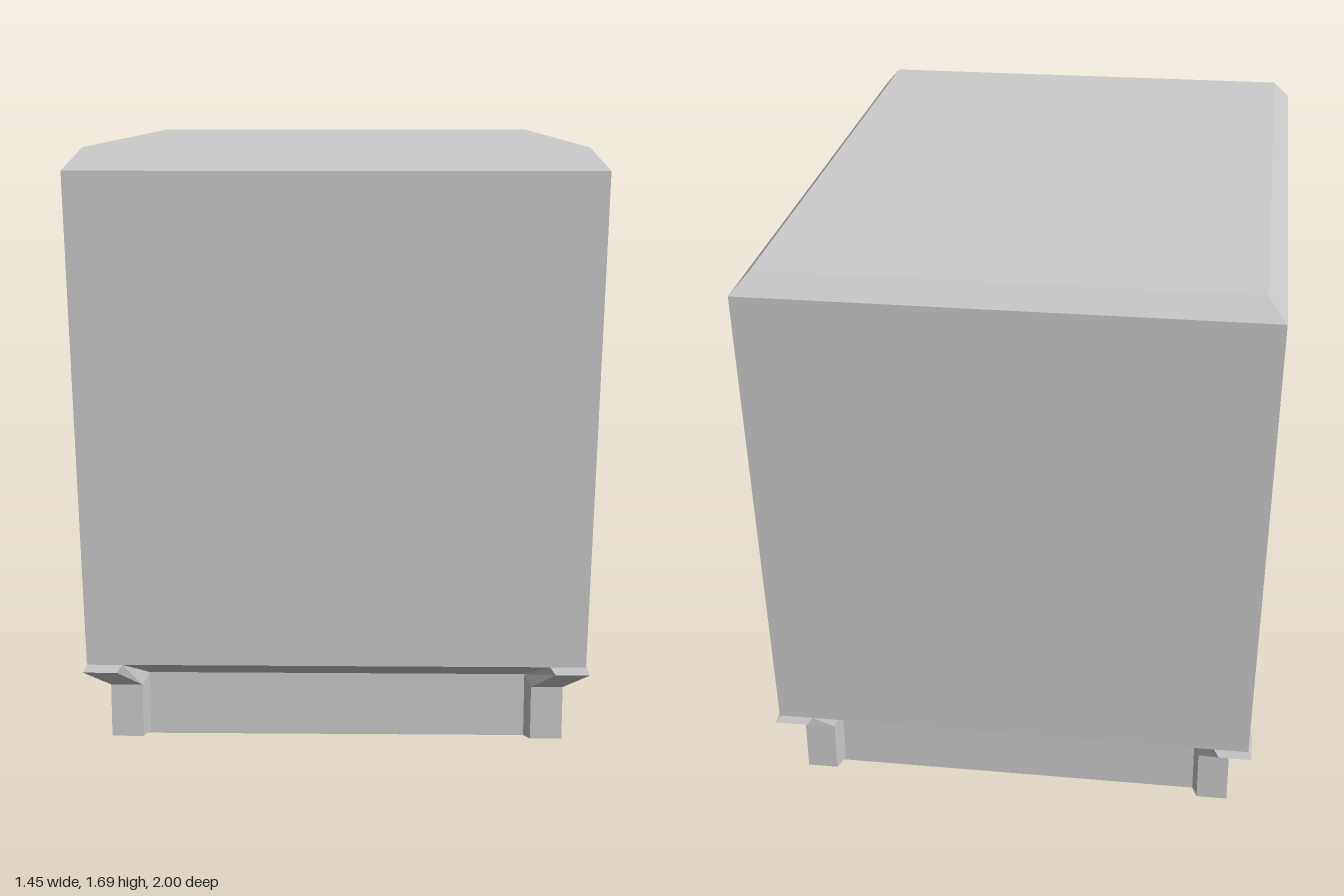
import * as THREE from 'three';

const grey = new THREE.MeshStandardMaterial({ color: 0xcccccc, flatShading: true });

// Faceted mesh from quads, corners anticlockwise seen from outside
function quadMesh(name, quads) {
  const points = quads.flatMap(([a, b, c, d]) => [a, b, c, a, c, d]).flat();
  const geometry = new THREE.BufferGeometry();
  geometry.setAttribute('position', new THREE.Float32BufferAttribute(points, 3));
  geometry.computeVertexNormals();
  const mesh = new THREE.Mesh(geometry, grey);
  mesh.name = name;
  return mesh;
}

// Horizontal rectangle, anticlockwise seen from below
const ring = (y, x, z) => [[-x, y, z], [x, y, z], [x, y, -z], [-x, y, -z]];

// Four quads joining two rectangles
const band = (a, b) => a.map((p, i) => [p, a[(i + 1) % 4], b[(i + 1) % 4], b[i]]);

const foot = ring(0, 0.6, 0.84);
const plinthTop = ring(0.185, 0.6, 0.84);
const wallBottom = ring(0.25, 0.7, 0.965);
const wallTop = ring(1.63, 0.727, 1);
const roof = ring(1.69, 0.675, 0.96);

// Tapered walls; the +x wall is left out and framed around the window
function makeBody() {
  const walls = band(wallBottom, wallTop);
  const sideWall = walls.splice(1, 1)[0];
  const wallX = (y) => 0.7 + (0.027 * (y - 0.25)) / 1.38;
  const opening = [[0.65, 0.83], [0.22, 0.83], [0.22, 1.19], [0.65, 1.19]].map(([z, y]) => [wallX(y), y, z]);
  const niche = [[0.61, 0.84], [0.26, 0.84], [0.26, 1.12], [0.61, 1.12]].map(([z, y]) => [0.53, y, z]);
  const group = new THREE.Group();
  group.name = 'body';
  group.add(
    quadMesh('walls', [...walls, ...band(sideWall, opening)]),
    quadMesh('windowRecess', [...band(opening, niche), niche]),
    quadMesh('roof', [...band(wallTop, roof), roof])
  );
  return group;
}

// Corner post that flares out under the wall, mirrored by sx and sz
function makeCornerPost(sx, sz) {
  const rows = [
    // underside
    [[0.54, 0, 0.84], [0.555, 0, 0.84], [0.6, 0, 0.84], [0.6, 0, 0.795], [0.6, 0, 0.78]],
    // foot of the post
    [[0.54, 0.01, 0.84], [0.555, 0.01, 0.89], [0.645, 0.01, 0.89], [0.645, 0.01, 0.795], [0.6, 0.01, 0.78]],
    // start of the flare
    [[0.54, 0.185, 0.84], [0.555, 0.165, 0.89], [0.645, 0.165, 0.89], [0.645, 0.165, 0.795], [0.6, 0.185, 0.78]],
    // tip of the flare
    [[0.6, 0.25, 0.965], [0.615, 0.23, 0.975], [0.71, 0.23, 0.975], [0.71, 0.23, 0.865], [0.7, 0.25, 0.85]],
    // back to the wall
    [[0.6, 0.25, 0.965], [0.615, 0.25, 0.965], [0.7, 0.25, 0.965], [0.7, 0.25, 0.865], [0.7, 0.25, 0.85]],
  ].map((row) => row.map(([x, y, z]) => [x * sx, y, z * sz]));
  const quads = [];
  for (let r = 0; r < 4; r++) {
    for (let c = 0; c < 4; c++) {
      const q = [rows[r][c], rows[r][c + 1], rows[r + 1][c + 1], rows[r + 1][c]];
      quads.push(sx * sz > 0 ? q : q.reverse());
    }
  }
  return quadMesh('cornerPost', quads);
}

export function createModel() {
  const model = new THREE.Group();
  model.name = 'box';
  model.add(
    makeBody(),
    quadMesh('plinth', [...band(foot, plinthTop), [...foot].reverse()]),
    quadMesh('skirt', band(plinthTop, wallBottom))
  );
  for (const sx of [-1, 1]) for (const sz of [-1, 1]) model.add(makeCornerPost(sx, sz));
  return model;
}
